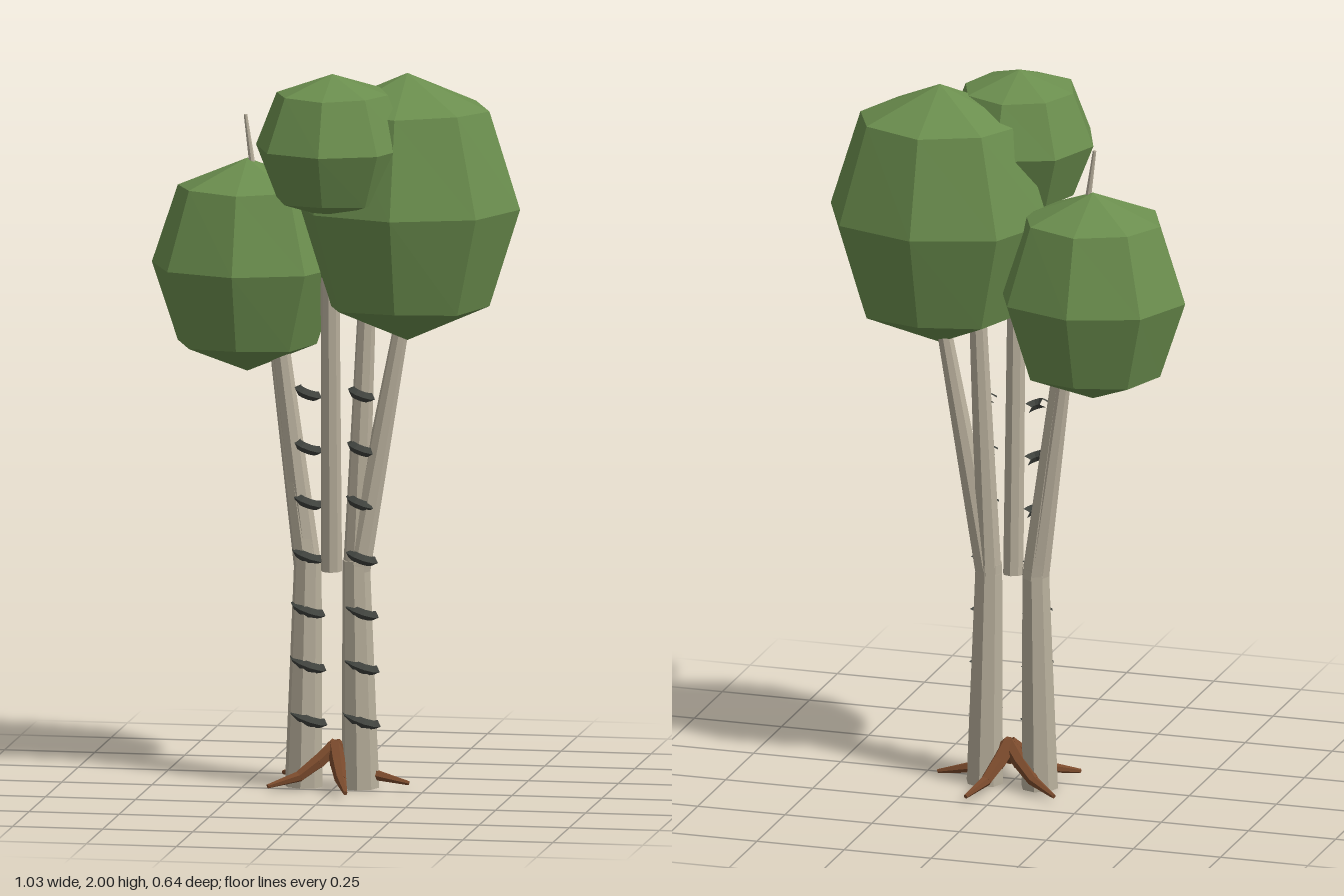
import * as THREE from 'three';

const mat = (name, color) => {
  const m = new THREE.MeshStandardMaterial({ color });
  m.name = name;
  return m;
};

export function createModel() {
  const tree = new THREE.Group();
  tree.name = 'tree';
  const bark = mat('pale bark', 0xb8af9c);
  const dark = mat('dark bark marks', 0x40433e);
  const wood = mat('root brown', 0x7a4a2c);
  const leaf = mat('leaf green', 0x6b8e4e);

  // faceted mesh: split the faces so each has its own normal
  function add(name, geo, material) {
    const g = geo.index ? geo.toNonIndexed() : geo;
    g.computeVertexNormals();
    const mesh = new THREE.Mesh(g, material);
    mesh.name = name;
    tree.add(mesh);
    return mesh;
  }

  // tapered limb between two points
  function limb(name, a, b, r0, r1, sides, material) {
    const p = new THREE.Vector3(...a), q = new THREE.Vector3(...b);
    const d = q.clone().sub(p);
    const mesh = add(name, new THREE.CylinderGeometry(r1, r0, d.length(), sides), material);
    mesh.position.copy(p).add(q).multiplyScalar(0.5);
    mesh.quaternion.setFromUnitVectors(new THREE.Vector3(0, 1, 0), d.normalize());
  }

  // two lower trunks
  limb('rightTrunk', [-0.088, 0, -0.052], [-0.076, 0.63, -0.052], 0.052, 0.038, 8, bark);
  limb('leftTrunk', [0.07, 0, -0.052], [0.058, 0.63, -0.052], 0.052, 0.038, 8, bark);

  // branches, the first one pokes out above its crown
  limb('rightOuterBranch', [-0.077, 0.6, -0.052], [-0.255, 1.85, -0.083], 0.037, 0.005, 8, bark);
  limb('rightInnerBranch', [-0.074, 0.6, -0.055], [-0.19, 1.5, -0.06], 0.036, 0.02, 8, bark);
  limb('leftOuterBranch', [0.06, 0.6, -0.052], [0.275, 1.8, -0.07], 0.037, 0.01, 8, bark);
  limb('leftInnerBranch', [0.056, 0.6, -0.055], [0.1, 1.7, -0.07], 0.035, 0.02, 8, bark);
  limb('middleBranch', [-0.008, 0.6, -0.04], [-0.004, 1.75, 0.015], 0.029, 0.025, 8, bark);

  // tilted half-ring bark marks in two columns
  for (const x of [-0.075, 0.073]) {
    for (let i = 0; i < 7; i++) {
      const r = 0.043 - i * 0.0028;
      const ring = new THREE.TorusGeometry(r, 0.014, 4, 5, Math.PI);
      ring.rotateX(Math.PI / 2);
      ring.rotateZ(-0.35);
      add('barkMark', ring, dark).position.set(x, 0.19 + i * 0.15, -0.05);
    }
  }

  // five bent roots around the foot
  for (let i = 0; i < 5; i++) {
    const a = (i * Math.PI * 2) / 5;
    const at = (r, y) => [Math.cos(a) * r, y, -0.05 + Math.sin(a) * r];
    limb('rootTop', at(0.0, 0.115), at(0.055, 0.07), 0.022, 0.021, 6, wood);
    limb('rootMiddle', at(0.05, 0.075), at(0.11, 0.037), 0.021, 0.016, 6, wood);
    limb('rootTip', at(0.105, 0.038), at(0.205, 0.016), 0.016, 0.006, 6, wood);
  }

  // faceted crowns: eight sides, a ring above and below the middle
  const crowns = [
    ['rightCrown', [-0.25, 1.435, -0.083], [0.265, 0.295, 0.239]],
    ['leftCrown', [0.202, 1.615, -0.042], [0.313, 0.37, 0.272]],
    ['topCrown', [0.02, 1.8, 0.103], [0.212, 0.2, 0.217]],
  ];
  for (const [name, centre, size] of crowns) {
    const g = new THREE.SphereGeometry(1, 8, 4);
    const p = g.attributes.position;
    for (let i = 0; i < p.count; i++) {
      const y = Math.abs(p.getY(i));
      const onDiagonal = Math.abs(p.getX(i) * p.getZ(i)) > 0.05;
      let k = y > 0.1 && y < 0.9 ? 1.03 : 1;
      if (onDiagonal) k *= 1.02;
      p.setXYZ(i, p.getX(i) * k, p.getY(i) * k, p.getZ(i) * k);
    }
    g.scale(...size);
    add(name, g, leaf).position.set(...centre);
  }
  return tree;
}
